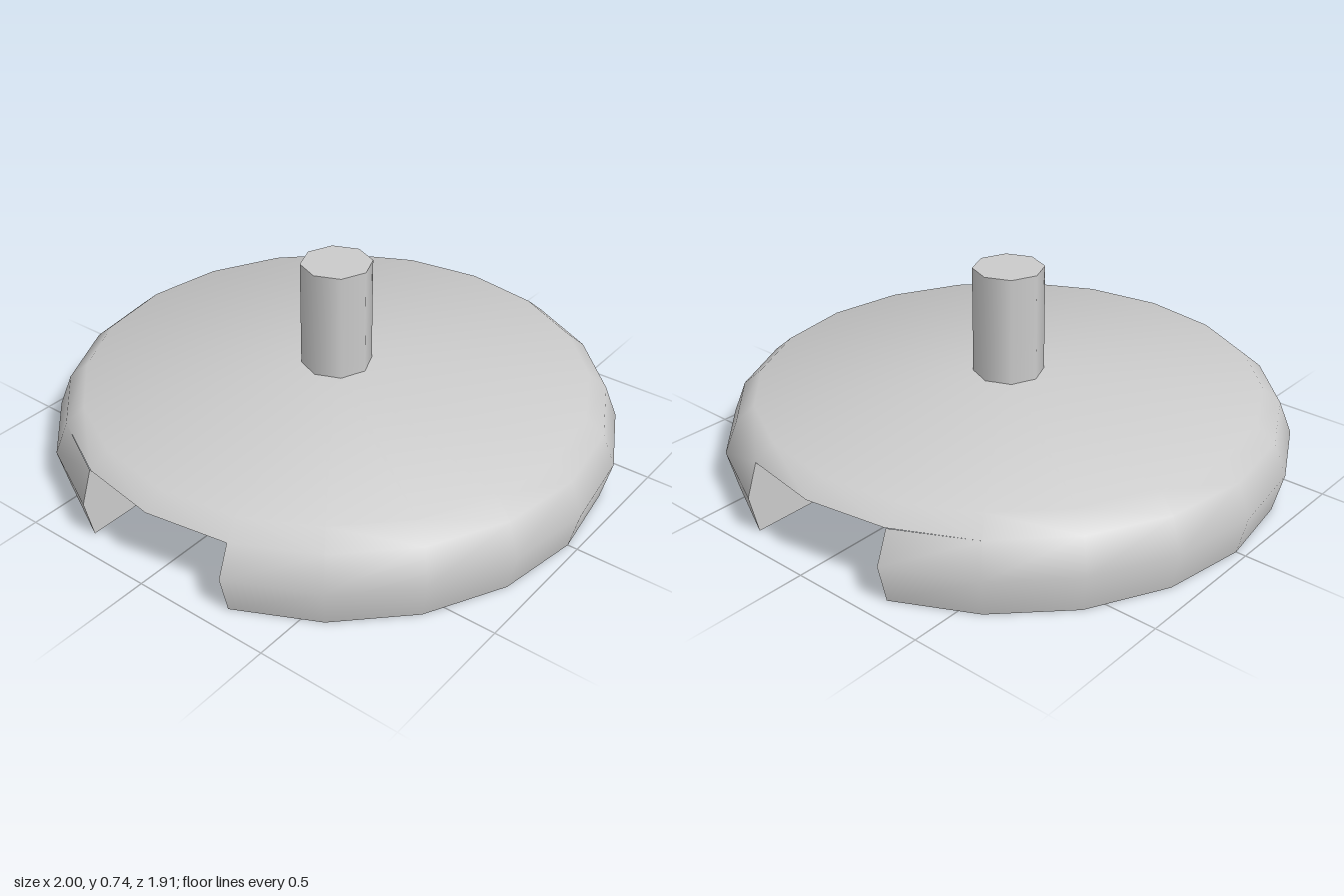
import * as THREE from 'three';
import { mergeGeometries, toCreasedNormals } from 'three/addons/utils/BufferGeometryUtils.js';

const SIDES = 20;
const WALL = { right: -0.3, left: 0.295 }; // x of the two slot walls
const CEILING = 0.255;
const RIM = 0.955; // disc radius at slot ceiling height

// Bare, non-indexed positions, ready for merging
function bare(geometry) {
  const g = geometry.index ? geometry.toNonIndexed() : geometry;
  g.deleteAttribute('uv');
  g.deleteAttribute('normal');
  return g;
}

// Lower part of the disc on one side of the slot: stacked D-shaped rings
function lowerHalf(side, wall) {
  const rings = [[0.965, 0], [1, 0.14], [RIM, CEILING]].map(([r, y]) => {
    const ring = [];
    for (let k = -4; k <= 4; k++) {
      const a = (k * 2 * Math.PI) / SIDES + (side > 0 ? 0 : Math.PI);
      const x = Math.abs(k) === 4 ? wall : r * Math.cos(a);
      ring.push([x, y, r * Math.sin(a)]);
    }
    return ring;
  });
  const n = rings[0].length;
  const pos = [];
  // Outer skin, closed by the slot wall
  for (let j = 0; j < rings.length - 1; j++) {
    for (let i = 0; i < n; i++) {
      const next = (i + 1) % n;
      const a = rings[j][i], b = rings[j][next];
      const c = rings[j + 1][next], d = rings[j + 1][i];
      pos.push(...a, ...d, ...b, ...d, ...c, ...b);
    }
  }
  // Flat underside
  for (let i = 1; i < n - 1; i++) pos.push(...rings[0][0], ...rings[0][i], ...rings[0][i + 1]);
  const g = new THREE.BufferGeometry();
  g.setAttribute('position', new THREE.Float32BufferAttribute(pos, 3));
  return g;
}

// Shouldered top, spanning both halves
function upperCap() {
  const profile = [[RIM, CEILING], [0.89, 0.31], [0.1, 0.35]].map(p => new THREE.Vector2(...p));
  return bare(new THREE.LatheGeometry(profile, SIDES));
}

// Ceiling of the slot, facing down
function slotCeiling() {
  const z = RIM * Math.cos((2 * Math.PI) / SIDES);
  const outline = [
    [WALL.right, -z], [0, -RIM], [WALL.left, -z],
    [WALL.left, z], [0, RIM], [WALL.right, z],
  ].map(p => new THREE.Vector2(...p));
  const g = new THREE.ShapeGeometry(new THREE.Shape(outline));
  return bare(g.rotateX(Math.PI / 2).translate(0, CEILING, 0));
}

export function createModel() {
  const group = new THREE.Group();
  const material = new THREE.MeshStandardMaterial({ color: 0xcccccc });

  // Slotted disc, smooth around the rim with sharp slot and base edges
  const disc = mergeGeometries([
    lowerHalf(1, WALL.left),
    lowerHalf(-1, WALL.right),
    upperCap(),
    slotCeiling(),
  ]);
  const discMesh = new THREE.Mesh(toCreasedNormals(disc, THREE.MathUtils.degToRad(48)), material);
  discMesh.name = 'slottedDisc';
  group.add(discMesh);

  // Eight-sided stem
  const stem = new THREE.CylinderGeometry(0.125, 0.125, 0.395, 8).translate(0, 0.5375, 0);
  const stemMesh = new THREE.Mesh(stem, material);
  stemMesh.name = 'stem';
  group.add(stemMesh);

  return group;
}
